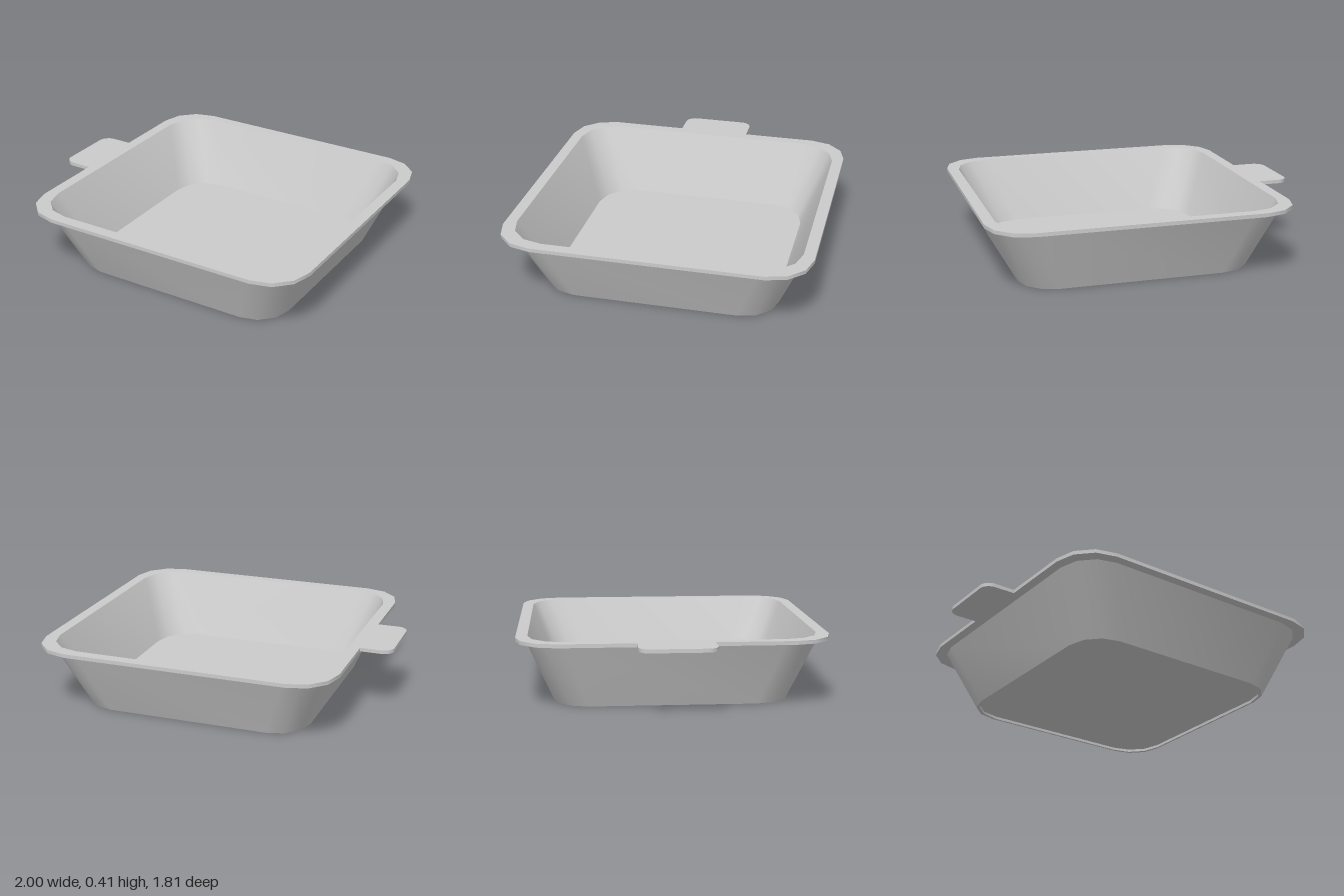
import * as THREE from 'three';
import { toCreasedNormals } from 'three/addons/utils/BufferGeometryUtils.js';

const TOP = 0.405, UNDER = 0.383, CENTRE_X = 0.094;
const CORNER_STEPS = 3;

// Square loop with rounded corners, running from +x towards +z
function roundedSquare(half, radius, y) {
  const points = [];
  for (let corner = 0; corner < 4; corner++) {
    const mid = (corner + 0.5) * Math.PI / 2;
    const reach = (half - radius) * Math.SQRT2;
    for (let k = 0; k <= CORNER_STEPS; k++) {
      const a = (corner + k / CORNER_STEPS) * Math.PI / 2;
      points.push([
        Math.cos(mid) * reach + Math.cos(a) * radius,
        y,
        Math.sin(mid) * reach + Math.sin(a) * radius,
      ]);
    }
  }
  return points;
}

// Skin joining successive loops
function loft(loops) {
  const positions = [];
  const count = loops[0].length;
  for (let i = 0; i < loops.length - 1; i++) {
    for (let j = 0; j < count; j++) {
      const n = (j + 1) % count;
      const a = loops[i][j], b = loops[i][n];
      const c = loops[i + 1][n], d = loops[i + 1][j];
      positions.push(...a, ...d, ...c, ...a, ...c, ...b);
    }
  }
  const geometry = new THREE.BufferGeometry();
  geometry.setAttribute('position', new THREE.Float32BufferAttribute(positions, 3));
  geometry.computeVertexNormals();
  return toCreasedNormals(geometry, 0.7);
}

export function createModel() {
  const group = new THREE.Group();
  const material = new THREE.MeshStandardMaterial({ color: 0xcccccc, side: THREE.DoubleSide });

  function add(name, geometry, x = 0, y = 0, z = 0) {
    const mesh = new THREE.Mesh(geometry, material);
    mesh.name = name;
    mesh.position.set(x, y, z);
    group.add(mesh);
  }

  // Dish section: underside, outer wall, rim, inner wall, floor [half width, corner radius, y]
  const section = [
    [0, 0, 0.016],
    [0.679, 0.21, 0.016],
    [0.68, 0.21, 0],
    [0.692, 0.205, 0],
    [0.85, 0.225, UNDER],
    [0.905, 0.24, UNDER],
    [0.905, 0.24, TOP],
    [0.837, 0.22, TOP],
    [0.675, 0.222, 0.02],
    [0, 0, 0.02],
  ];
  add('dish', loft(section.map(s => roundedSquare(...s))), CENTRE_X);

  // Flat grip tab on the right edge of the rim
  const w = 0.22, r = 0.065, outer = -1, inner = CENTRE_X - 0.905;
  const tab = new THREE.Shape();
  tab.moveTo(inner, -w);
  tab.lineTo(inner, w);
  tab.lineTo(outer + r, w);
  tab.absarc(outer + r, w - r, r, Math.PI / 2, Math.PI, false);
  tab.lineTo(outer, -w + r);
  tab.absarc(outer + r, -w + r, r, Math.PI, Math.PI * 1.5, false);
  const tabGeometry = new THREE.ExtrudeGeometry(tab, {
    depth: TOP - UNDER, bevelEnabled: false, curveSegments: 4,
  });
  tabGeometry.rotateX(Math.PI / 2);
  add('gripTab', toCreasedNormals(tabGeometry, 0.7), 0, TOP, -0.004);

  return group;
}
